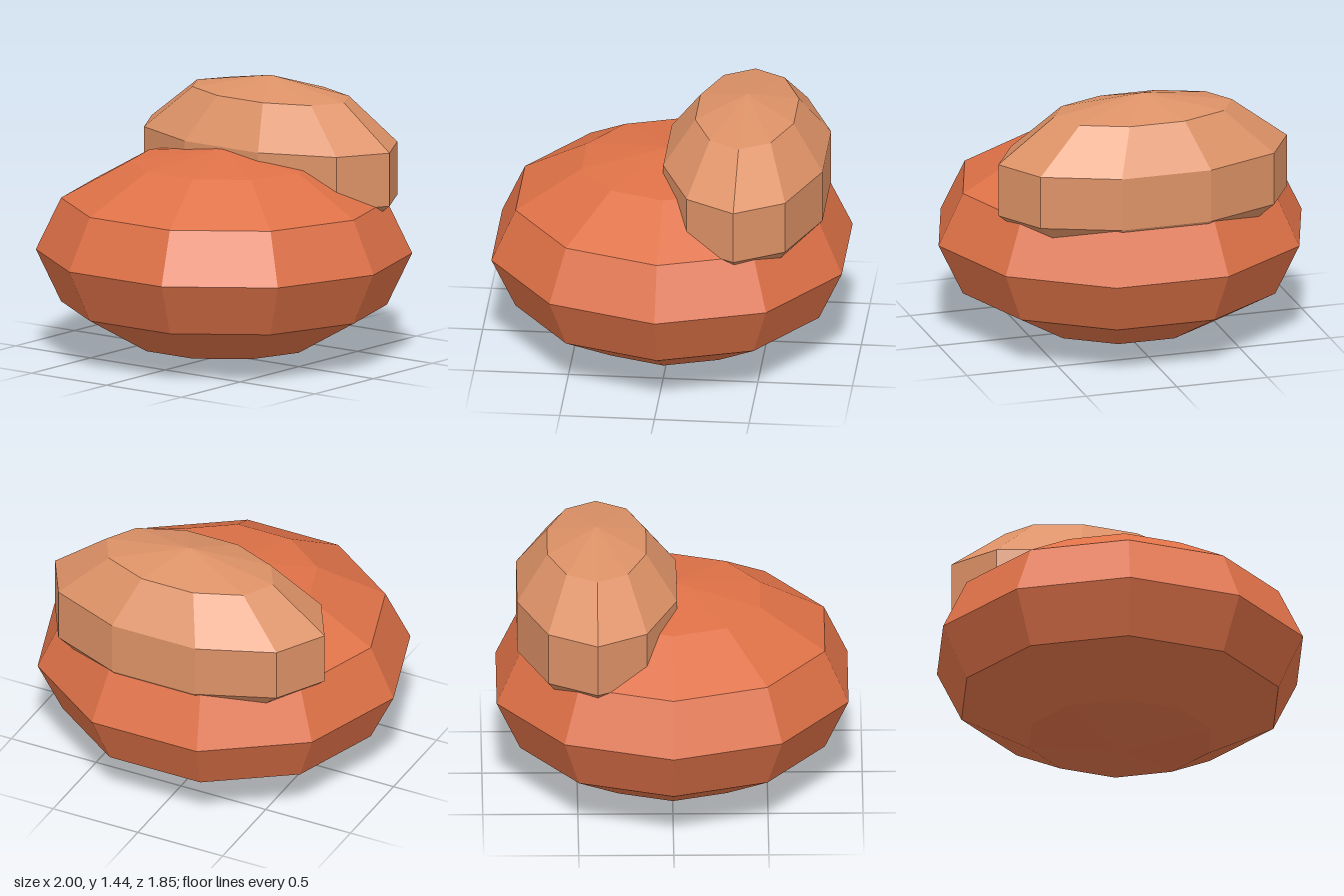
import * as THREE from 'three';

// Faceted ellipsoid with ten sides
function boulder(name, material, rings, scale, position) {
  const geometry = new THREE.SphereGeometry(1, 10, rings).toNonIndexed();
  geometry.scale(...scale);
  geometry.computeVertexNormals();
  const mesh = new THREE.Mesh(geometry, material);
  mesh.name = name;
  mesh.position.set(...position);
  return mesh;
}

export function createModel() {
  const rust = new THREE.MeshStandardMaterial({ color: 0xde7147, flatShading: true });
  rust.name = 'rust';
  const tan = new THREE.MeshStandardMaterial({ color: 0xdc9166, flatShading: true });
  tan.name = 'tan';

  const group = new THREE.Group();
  group.name = 'stackedBoulders';
  // Wide lower stone, with a smaller one resting on its back
  group.add(
    boulder('lowerBoulder', rust, 6, [1, 0.556, 0.973], [0, 0.557, 0]),
    boulder('upperBoulder', tan, 5, [0.836, 0.461, 0.465], [0, 0.978, -0.397])
  );
  return group;
}
